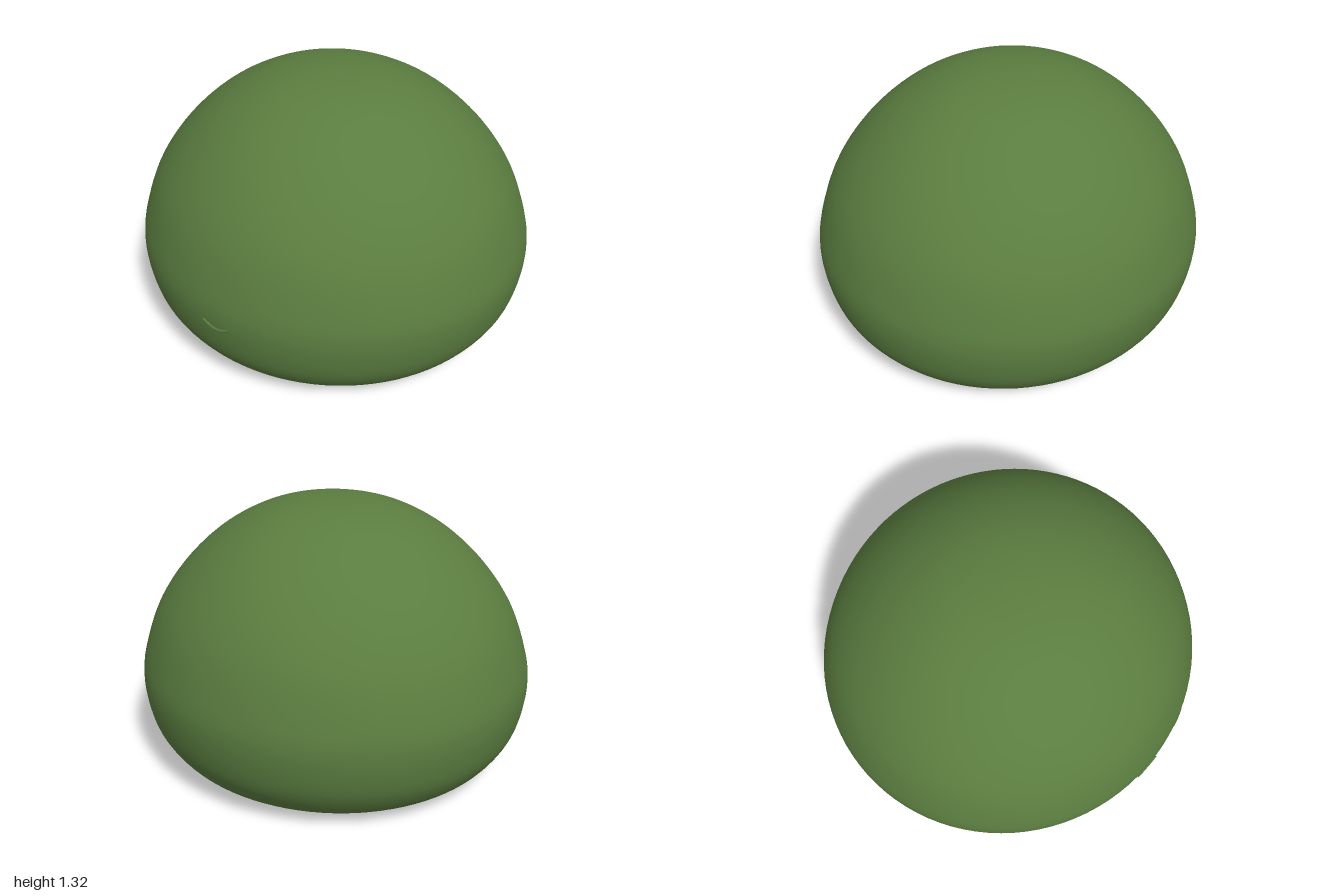
import * as THREE from 'three';

const DEPTH = 0.963; // the body is slightly shallower than it is wide

// Half outline of the body, from the centre of the base to the crown
const outline = new THREE.SplineCurve([
  [0, 0], [0.35, 0], [0.6, 0.002], [0.71, 0.012], [0.84, 0.065], [0.92, 0.148],
  [0.975, 0.26], [1, 0.43], [0.976, 0.58], [0.895, 0.79], [0.76, 0.98],
  [0.585, 1.14], [0.39, 1.25], [0.2, 1.304], [0, 1.32],
].map(([r, y]) => new THREE.Vector2(r, y))).getPoints(90);

// Depth of the front surface at a given x and y
function frontZ(x, y) {
  const i = Math.max(1, outline.findIndex((p) => p.y >= y && p.x > 0.7));
  const a = outline[i - 1], b = outline[i];
  const r = THREE.MathUtils.lerp(a.x, b.x, (y - a.y) / (b.y - a.y));
  return DEPTH * Math.sqrt(r * r - x * x);
}

export function createModel() {
  const model = new THREE.Group();
  const green = new THREE.MeshStandardMaterial({ color: 0x5b7d40 });
  green.name = 'moss green';

  function add(name, geometry) {
    const mesh = new THREE.Mesh(geometry, green);
    mesh.name = name;
    model.add(mesh);
  }

  // Soft domed body with a flat base
  const body = new THREE.LatheGeometry(outline, 96);
  body.scale(1, 1, DEPTH);
  add('body', body);

  // Flush oval eyes that follow the curve of the face
  for (const [name, side] of [['leftEye', 1], ['rightEye', -1]]) {
    const eye = new THREE.RingGeometry(0, 1, 32, 4);
    const p = eye.attributes.position;
    for (let i = 0; i < p.count; i++) {
      const x = side * 0.28 + p.getX(i) * 0.06;
      const y = 0.56 + p.getY(i) * 0.1;
      p.setXYZ(i, x, y, frontZ(x, y) + 0.003);
    }
    eye.computeVertexNormals();
    add(name, eye);
  }

  // Small smile lying on the surface
  const smile = [];
  for (let i = 0; i <= 12; i++) {
    const x = -0.076 + (0.152 * i) / 12;
    const y = 0.394 + 0.028 * (x / 0.076) ** 2;
    smile.push(new THREE.Vector3(x, y, frontZ(x, y) - 0.002));
  }
  add('smile', new THREE.TubeGeometry(new THREE.CatmullRomCurve3(smile), 32, 0.008, 10));

  return model;
}
